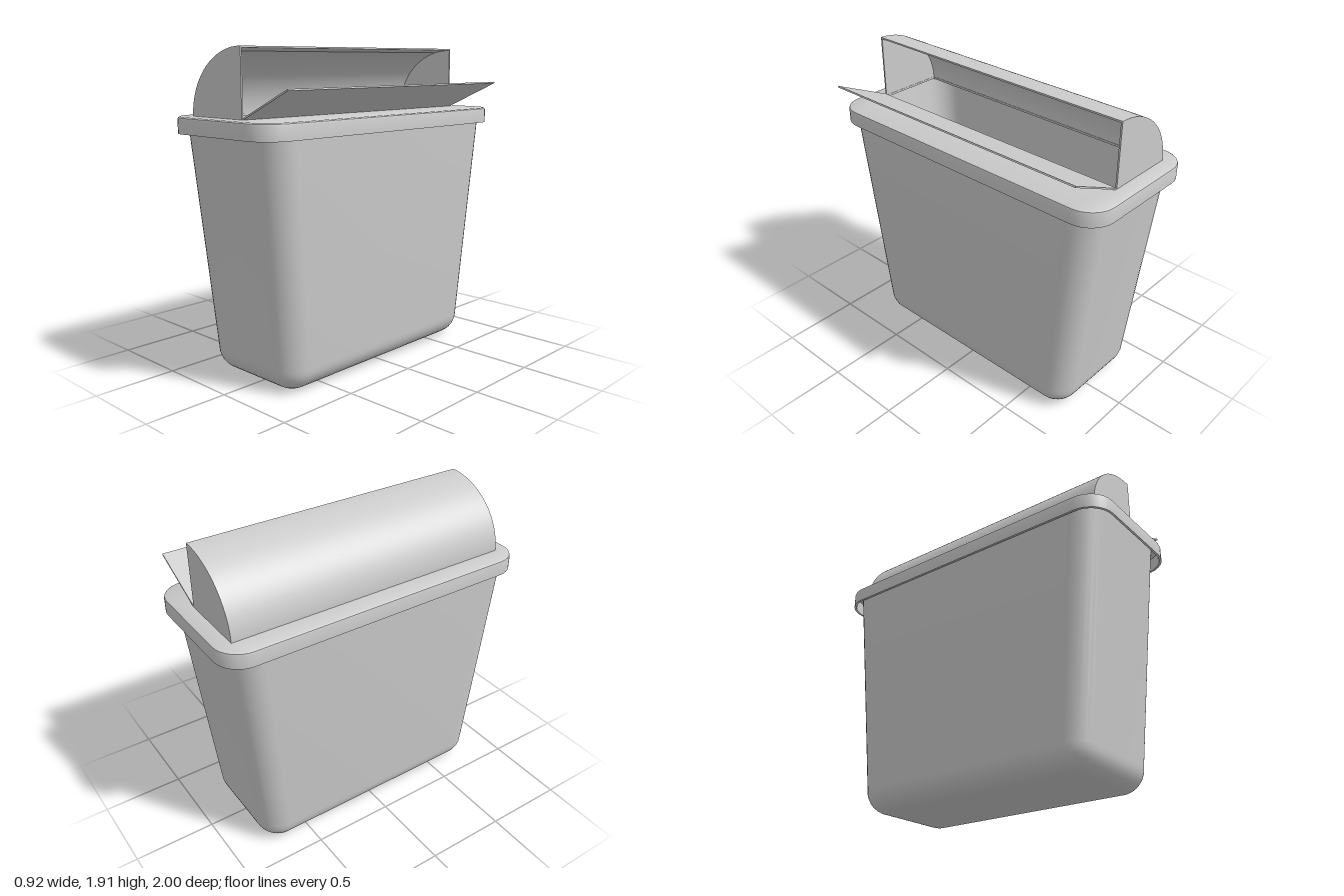
import * as THREE from 'three';
import { toCreasedNormals } from 'three/addons/utils/BufferGeometryUtils.js';

const material = new THREE.MeshStandardMaterial({ color: 0xcccccc });
const CX = -0.03; // centre line of the bin
const STEPS = 8; // segments per rounded corner

// Skins a list of rounded-rectangle rings: [halfX, halfZ, cornerRadius, y, centreX]
function loft(rings) {
  const pos = [], index = [], n = 4 * (STEPS + 1);
  const signs = [[1, 1], [-1, 1], [-1, -1], [1, -1]];
  for (const [hx, hz, r, y, cx = CX] of rings) {
    signs.forEach(([sx, sz], q) => {
      for (let k = 0; k <= STEPS; k++) {
        const a = (q + k / STEPS) * Math.PI / 2;
        pos.push(cx + sx * (hx - r) + r * Math.cos(a), y, sz * (hz - r) + r * Math.sin(a));
      }
    });
  }
  for (let i = 0; i < rings.length - 1; i++) {
    for (let j = 0; j < n; j++) {
      const a = i * n + j, b = i * n + (j + 1) % n;
      index.push(a, a + n, b, b, a + n, b + n);
    }
  }
  const geo = new THREE.BufferGeometry();
  geo.setAttribute('position', new THREE.Float32BufferAttribute(pos, 3));
  geo.setIndex(index);
  return toCreasedNormals(geo, 0.6);
}

// Extrudes a front profile along z, centred on z
function extrude(shape, depth, z = 0) {
  const geo = new THREE.ExtrudeGeometry(shape, { depth, bevelEnabled: false, curveSegments: 32 });
  geo.translate(0, 0, z - depth / 2);
  return toCreasedNormals(geo, 0.5);
}

// Tapered wall with a rounded foot, optionally inset by the wall thickness
function wallRings(inset) {
  const R = 0.14, rings = [[0, 0, 0, inset]];
  for (let k = 0; k <= 8; k++) {
    const a = k / 8 * Math.PI / 2, d = R * (1 - Math.sin(a)) + inset;
    rings.push([0.365 - d, 0.802 - d, 0.15 - d, R * (1 - Math.cos(a)) + inset]);
  }
  rings.push([0.413 - inset, 0.944 - inset, 0.16 - inset, 1.51]);
  return rings;
}

export function createModel() {
  const model = new THREE.Group();
  const add = (name, geo, parent = model) => {
    const mesh = new THREE.Mesh(geo, material);
    mesh.name = name;
    parent.add(mesh);
    return mesh;
  };

  // Hollow bin body: outside up, inside back down
  add('body', loft([...wallRings(0), ...wallRings(0.012).reverse()]));

  // Lid: plate with a hanging skirt and a long opening
  const openX = -0.115;
  add('lid', loft([
    [0.207, 0.893, 0.005, 1.512, openX],
    [0.417, 0.987, 0.15, 1.512],
    [0.417, 0.987, 0.15, 1.43],
    [0.43, 1, 0.16, 1.43],
    [0.43, 1, 0.16, 1.51],
    [0.427, 0.997, 0.157, 1.519],
    [0.418, 0.988, 0.15, 1.525],
    [0.207, 0.893, 0.005, 1.525, openX],
    [0.207, 0.893, 0.005, 1.512, openX],
  ]));

  // Hood: quarter-round shell closed at both ends, open toward the flap
  const hood = new THREE.Group();
  hood.name = 'hood';
  model.add(hood);
  const hx = 0.095, hy = 1.522, rx = 0.43, ry = 0.386, t = 0.01;
  const shell = new THREE.Shape();
  shell.absellipse(hx, hy, rx, ry, Math.PI / 2, Math.PI, false, 0);
  shell.lineTo(hx - rx + t, hy);
  shell.absellipse(hx, hy, rx - t, ry - t, Math.PI, Math.PI / 2, true, 0);
  shell.closePath();
  add('hoodShell', extrude(shell, 1.79), hood);
  const end = new THREE.Shape();
  end.moveTo(hx, hy);
  end.lineTo(hx, hy + ry);
  end.absellipse(hx, hy, rx, ry, Math.PI / 2, Math.PI, false, 0);
  end.closePath();
  for (const s of [1, -1]) add('hoodEnd', extrude(end, t, s * 0.9), hood);

  // Flap tilted open on its hinge line
  const flapGeo = new THREE.BoxGeometry(0.396, 0.009, 1.81);
  flapGeo.translate(0.198, 0.0045, 0);
  const flap = add('flap', flapGeo);
  flap.position.set(0.097, 1.522, 0);
  flap.rotation.z = Math.atan2(0.165, 0.36);

  return model;
}
